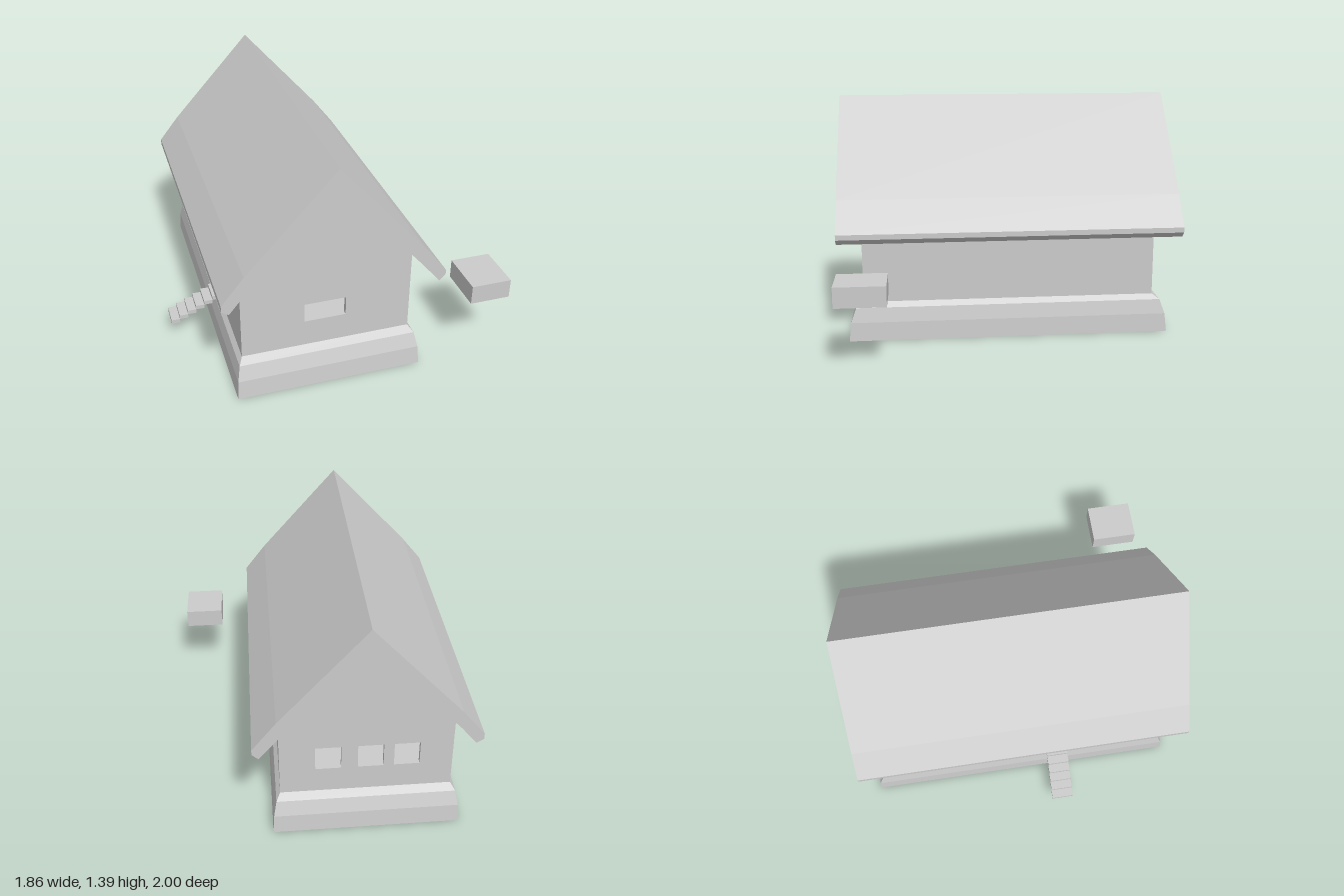
import * as THREE from 'three';

const T = 0.027; // wall thickness
const WALL = { x0: -0.625, x1: 0.355, y0: 0.225, eave: 0.735, z0: -0.86, z1: 0.865 };
const RIDGE_X = -0.125;

const material = new THREE.MeshStandardMaterial({ color: 0xcccccc, flatShading: true });

function addMesh(parent, name, geometry) {
  const mesh = new THREE.Mesh(geometry, material);
  mesh.name = name;
  parent.add(mesh);
  return mesh;
}

function addBox(parent, name, [x0, x1], [y0, y1], [z0, z1]) {
  const mesh = addMesh(parent, name, new THREE.BoxGeometry(x1 - x0, y1 - y0, z1 - z0));
  mesh.position.set((x0 + x1) / 2, (y0 + y1) / 2, (z0 + z1) / 2);
  return mesh;
}

function polygon(points) {
  return new THREE.Shape(points.map(([x, y]) => new THREE.Vector2(x, y)));
}

function extrude(shape, depth) {
  return new THREE.ExtrudeGeometry(shape, { depth, bevelEnabled: false });
}

// Gable wall with rectangular window openings [x0, x1, y0, y1]
function gableGeometry(openings) {
  const shape = polygon([
    [WALL.x0, WALL.y0], [WALL.x1, WALL.y0], [WALL.x1, WALL.eave],
    [RIDGE_X, 1.28], [WALL.x0, WALL.eave],
  ]);
  for (const [x0, x1, y0, y1] of openings) {
    shape.holes.push(polygon([[x0, y0], [x0, y1], [x1, y1], [x1, y0]]));
  }
  return extrude(shape, T);
}

// Stack of rectangular rings, each [x0, x1, z0, z1, y], closed at both ends
function loftRectangles(rings) {
  const position = [];
  const index = [];
  for (const [x0, x1, z0, z1, y] of rings) {
    position.push(x0, y, z1, x1, y, z1, x1, y, z0, x0, y, z0);
  }
  for (let r = 0; r < rings.length - 1; r++) {
    for (let i = 0; i < 4; i++) {
      const a = r * 4 + i, b = r * 4 + (i + 1) % 4;
      index.push(a, b, b + 4, a, b + 4, a + 4);
    }
  }
  const top = (rings.length - 1) * 4;
  index.push(0, 2, 1, 0, 3, 2, top, top + 1, top + 2, top, top + 2, top + 3);
  const indexed = new THREE.BufferGeometry();
  indexed.setAttribute('position', new THREE.Float32BufferAttribute(position, 3));
  indexed.setIndex(index);
  const geometry = indexed.toNonIndexed();
  geometry.computeVertexNormals();
  return geometry;
}

export function createModel() {
  const house = new THREE.Group();
  house.name = 'house';

  // Flared foundation; its top is the floor. Each entry: [spread x, spread z, y]
  const flare = [[0.048, 0.085, 0], [0.041, 0.073, 0.11], [0.024, 0.043, 0.195], [0, 0, WALL.y0]];
  addMesh(house, 'foundation', loftRectangles(flare.map(([dx, dz, y]) =>
    [WALL.x0 - dx, WALL.x1 + dx, WALL.z0 - dz, WALL.z1 + dz, y])));

  // Gable walls: one wide window in front, three square ones at the back
  const front = addMesh(house, 'frontWall', gableGeometry([[-0.265, -0.025, 0.385, 0.5]]));
  front.position.z = WALL.z1 - T;
  const back = addMesh(house, 'backWall', gableGeometry(
    [0.08, -0.16, -0.365].map((x) => [x - 0.073, x + 0.073, 0.385, 0.535])));
  back.position.z = WALL.z0;

  // Left side wall, plain
  const zIn0 = WALL.z0 + T, zIn1 = WALL.z1 - T;
  addBox(house, 'leftWall', [WALL.x1 - T, WALL.x1], [WALL.y0, WALL.eave], [zIn0, zIn1]);

  // Right side wall with a door opening down to the floor
  const doorWall = polygon([
    [zIn0, WALL.y0], [0.17, WALL.y0], [0.17, 0.55], [0.305, 0.55], [0.305, WALL.y0],
    [zIn1, WALL.y0], [zIn1, WALL.eave], [zIn0, WALL.eave],
  ]);
  const right = addMesh(house, 'rightWall', extrude(doorWall, T).rotateY(-Math.PI / 2));
  right.position.x = WALL.x0 + T;

  // Roof slab, thick gable section with turned-out eaves
  const roof = polygon([
    [RIDGE_X, 1.39], [-0.625, 0.845], [-0.75, 0.69], [-0.75, 0.655], [-0.71, 0.63],
    [-0.625, 0.735], [RIDGE_X, 1.28], [0.355, 0.735], [0.465, 0.605],
    [0.5, 0.638], [0.5, 0.668], [0.365, 0.84],
  ]);
  addMesh(house, 'roof', extrude(roof, 2)).position.z = -1;

  // Steps up to the door
  const steps = new THREE.Group();
  steps.name = 'steps';
  house.add(steps);
  const run = 0.051, rise = 0.025;
  for (let i = 0; i < 6; i++) {
    const x = -0.93 + i * run, y = 0.093 + i * rise;
    addBox(steps, 'step', [x, x + run], [y, y + rise], [0.167, 0.3]);
  }

  // Loose block beside the house
  addBox(house, 'sideBlock', [0.687, 0.925], [0.385, 0.5], [0.703, 0.983]);

  return house;
}
